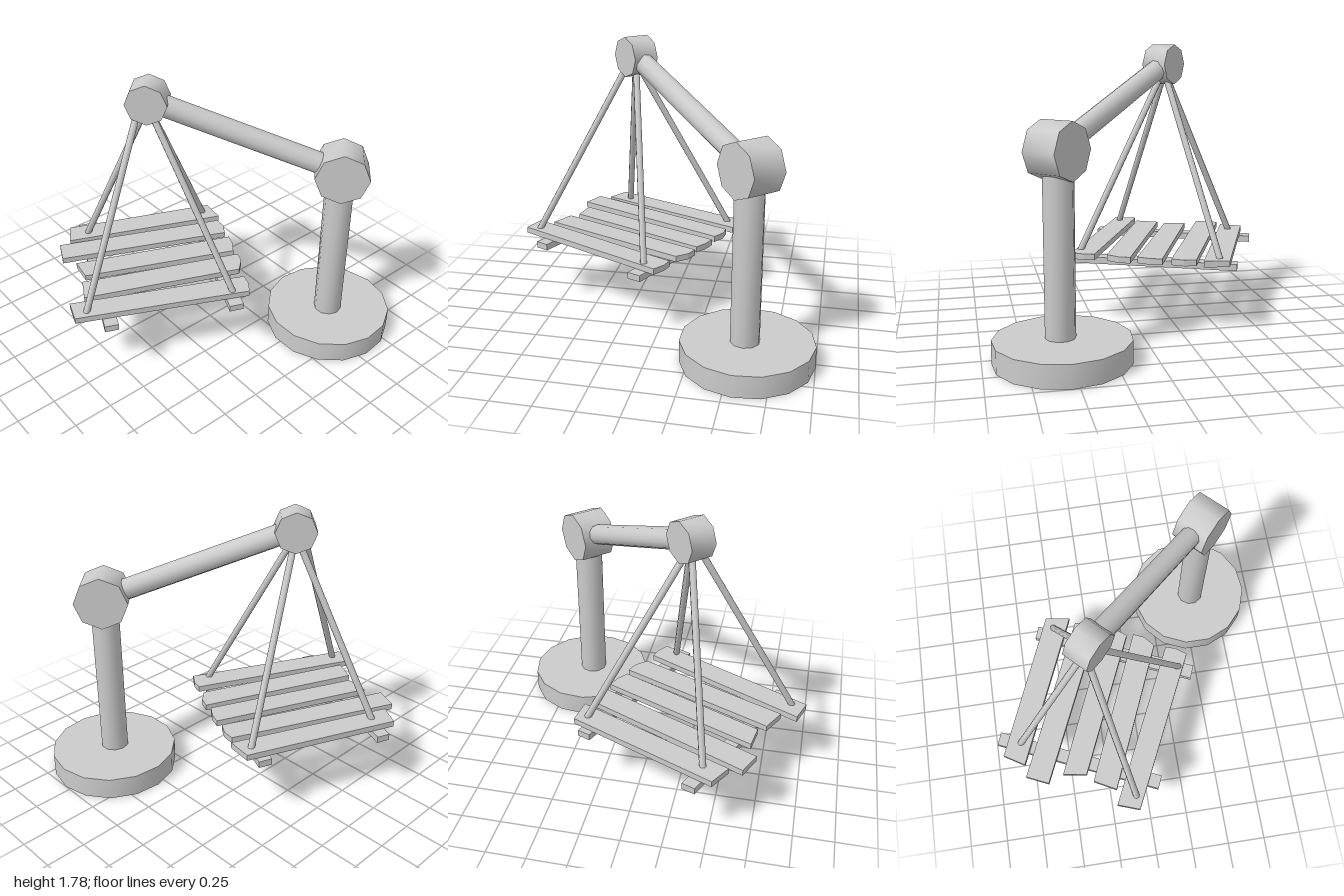
import * as THREE from 'three';
import { toCreasedNormals } from 'three/addons/utils/BufferGeometryUtils.js';

const V = (x, y, z) => new THREE.Vector3(x, y, z);

export function createModel() {
  const model = new THREE.Group();
  model.name = 'swingArmPlatform';
  const grey = new THREE.MeshStandardMaterial({ color: 0xcccccc });

  const add = (name, geometry) => {
    const mesh = new THREE.Mesh(geometry, grey);
    mesh.name = name;
    model.add(mesh);
    return mesh;
  };

  // Cylinder running from point a to point b
  const rod = (name, a, b, radius, sides, crease = 0.9) => {
    const length = a.distanceTo(b);
    const geometry = toCreasedNormals(new THREE.CylinderGeometry(radius, radius, length, sides), crease);
    const mesh = add(name, geometry);
    mesh.position.copy(a).add(b).multiplyScalar(0.5);
    mesh.quaternion.setFromUnitVectors(V(0, 1, 0), b.clone().sub(a).normalize());
    return mesh;
  };

  // Flat plank with an outline of [x, z] corners between two heights
  const plank = (name, corners, y0, y1) => {
    const shape = new THREE.Shape(corners.map(([x, z]) => new THREE.Vector2(x, -z)));
    const geometry = new THREE.ExtrudeGeometry(shape, { depth: y1 - y0, bevelEnabled: false });
    geometry.rotateX(-Math.PI / 2).translate(0, y0, 0);
    add(name, geometry);
  };

  // Eight-sided joint lying across the arm
  const hub = (name, centre, radius, width) => {
    const geometry = new THREE.CylinderGeometry(radius, radius, width, 8);
    geometry.rotateX(Math.PI / 2).rotateY(-Math.PI / 4);
    const mesh = add(name, toCreasedNormals(geometry, 0.9));
    mesh.position.copy(centre);
  };

  // Foot and upright
  const base = rod('base', V(0.594, 0, 0.54), V(0.594, 0.14, 0.54), 0.406, 15);
  base.rotation.y = Math.PI / 2;
  const elbow = V(0.583, 1.217, 0.555);
  const tip = V(-0.263, 1.655, -0.26);
  rod('post', V(0.58, 0.13, 0.55), V(0.58, 1.2, 0.55), 0.09, 10);

  // Arm with a joint at each end
  hub('elbowJoint', elbow, 0.168, 0.22);
  hub('tipJoint', tip, 0.128, 0.165);
  rod('arm', elbow, tip, 0.067, 10);

  // Deck boards
  const boards = [
    [[-0.52, -0.91], [0.40, -0.52], [0.375, -0.36], [-0.60, -0.78]],
    [[-0.68, -0.78], [0.335, -0.325], [0.325, -0.25], [0.28, -0.18], [-0.745, -0.64]],
    [[-0.70, -0.54], [0.27, -0.125], [0.24, -0.05], [0.19, 0.015], [-0.725, -0.39]],
    [[-0.775, -0.35], [0.19, 0.06], [0.16, 0.13], [0.09, 0.19], [-0.85, -0.21]],
    [[-0.95, -0.22], [0.065, 0.265], [0.045, 0.33], [-0.005, 0.40], [-1.0, -0.08]],
  ];
  boards.forEach((corners, i) => plank(`board${i + 1}`, corners, 0.443, 0.482));

  // Runners beneath the boards
  plank('rightRunner', [[-0.43, -0.945], [-0.35, -0.915], [-0.80, 0.095], [-0.88, 0.06]], 0.402, 0.444);
  plank('leftRunner', [[0.28, -0.61], [0.36, -0.58], [-0.085, 0.435], [-0.17, 0.40]], 0.402, 0.444);

  // Four hangers from the tip joint to the deck
  const top = V(-0.265, 1.62, -0.262);
  rod('hanger1', V(-0.91, 0.475, -0.09), V(-0.31, 1.62, -0.285), 0.021, 8);
  rod('hanger2', V(-0.45, 0.475, -0.79), top, 0.021, 8);
  rod('hanger3', V(0.325, 0.475, -0.48), top, 0.021, 8);
  rod('hanger4', V(-0.085, 0.475, 0.33), top, 0.021, 8);

  return model;
}
